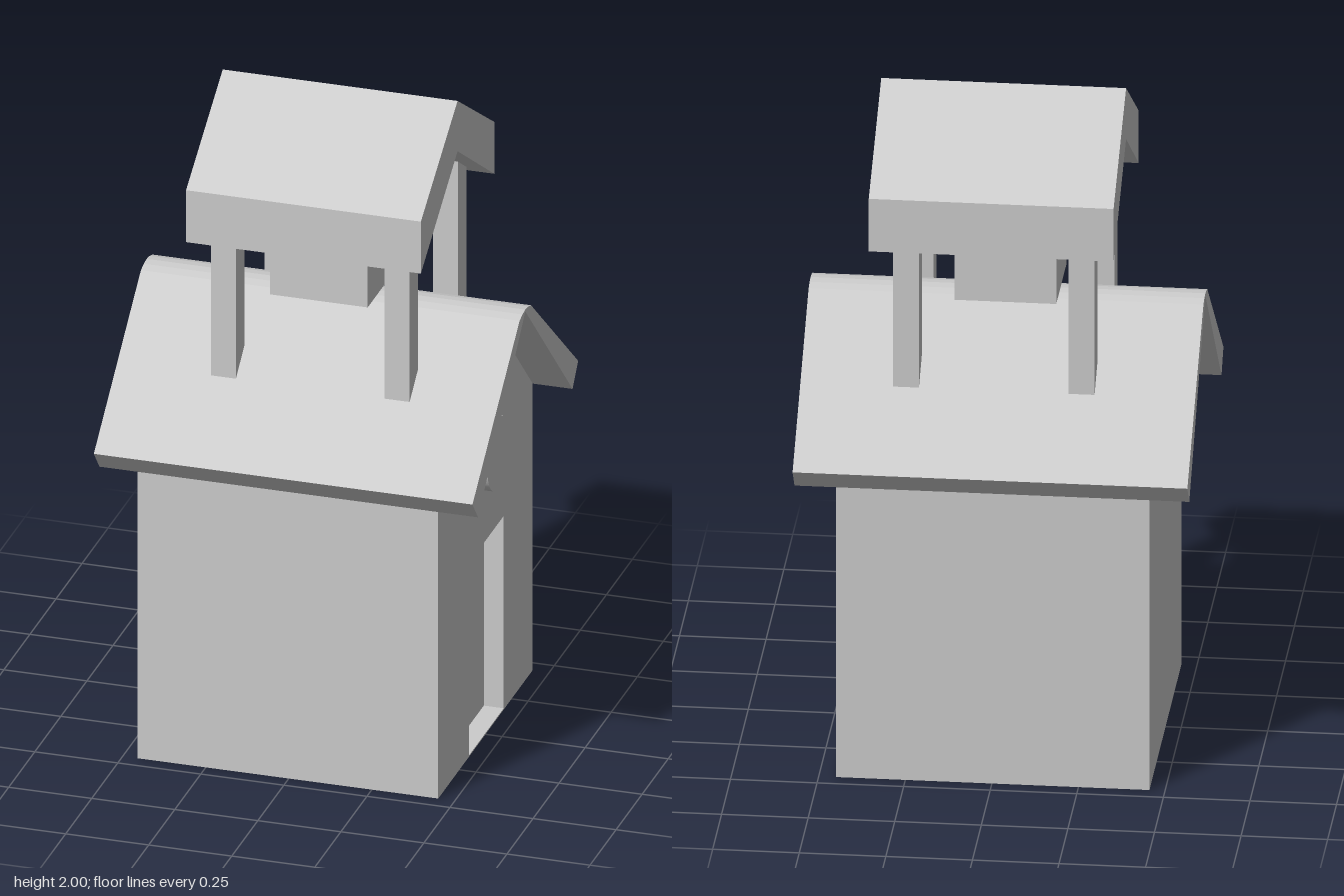
import * as THREE from 'three';

const stone = new THREE.MeshStandardMaterial({ color: 0xcccccc });
stone.name = 'pale grey';

// Closed outline from [z, y] points, drawn as seen from +x.
const outline = (points) =>
  new THREE.Shape(points.map(([z, y]) => new THREE.Vector2(-z, y)));

// Extrude an outline along x from x0 to x1.
function prism(shape, x0, x1) {
  const geometry = new THREE.ExtrudeGeometry(shape, { depth: x1 - x0, bevelEnabled: false });
  return geometry.rotateY(Math.PI / 2).translate(x0, 0, 0);
}

export function createModel() {
  const model = new THREE.Group();
  model.name = 'bellHouse';

  const add = (name, geometry, x = 0, y = 0, z = 0) => {
    const mesh = new THREE.Mesh(geometry, stone);
    mesh.name = name;
    mesh.position.set(x, y, z);
    model.add(mesh);
  };

  // Gabled house: solid core plus an end wall with the doorway cut out
  const gable = [[0.453, 0], [-0.453, 0], [-0.453, 0.91], [0, 1.36], [0.453, 0.91]];
  add('houseCore', prism(outline(gable), -0.455, 0.39));
  const endWall = outline(gable);
  endWall.holes.push(outline([[0.16, 0.004], [0.16, 0.615], [-0.175, 0.615], [-0.175, 0.004]]));
  add('doorWall', prism(endWall, 0.39, 0.45));

  // Round plaque above the door
  add('roundWindow', new THREE.CylinderGeometry(0.11, 0.11, 0.06, 48).rotateZ(Math.PI / 2), 0.46, 0.897, 0);

  // Main roof, thick at the eaves and meeting the gable line at the ridge
  add('mainRoof', prism(outline([
    [0.453, 0.91], [0.507, 0.975], [0.055, 1.355], [0.028, 1.363], [0, 1.366],
    [-0.028, 1.363], [-0.055, 1.355], [-0.507, 0.975], [-0.453, 0.91], [0, 1.36],
  ]), -0.57, 0.57));

  // Four posts, sunk into both roofs
  const postGeometry = new THREE.BoxGeometry(0.075, 0.62, 0.082);
  for (const [name, z, shift] of [['front', 0.242, 0], ['back', -0.246, -0.008]]) {
    add(name + 'LeftPost', postGeometry, 0.273 + shift, 1.41, z);
    add(name + 'RightPost', postGeometry, -0.25 - shift, 1.41, z);
  }

  // Small upper roof
  add('bellRoof', prism(outline([
    [0.352, 1.61], [0.352, 1.775], [0, 2], [-0.352, 1.775], [-0.352, 1.61], [0, 1.84],
  ]), -0.341, 0.366));

  // Bell: a box tapered by level, each level being [y, half width, half depth]
  const levels = [[1.376, 0.147, 0.142], [1.556, 0.147, 0.142], [1.735, 0.128, 0.094], [1.79, 0.122, 0.002]];
  const bell = new THREE.BoxGeometry(2, 3, 2, 1, 3, 1).toNonIndexed();
  const position = bell.attributes.position;
  for (let i = 0; i < position.count; i++) {
    const [y, halfX, halfZ] = levels[Math.round(position.getY(i) + 1.5)];
    position.setXYZ(i, position.getX(i) * halfX, y, position.getZ(i) * halfZ);
  }
  bell.computeVertexNormals();
  add('bell', bell, -0.007, 0, 0);

  // Hanger between bell and upper roof
  add('bellHanger', new THREE.BoxGeometry(0.1, 0.11, 0.086), -0.007, 1.78, 0);

  return model;
}
